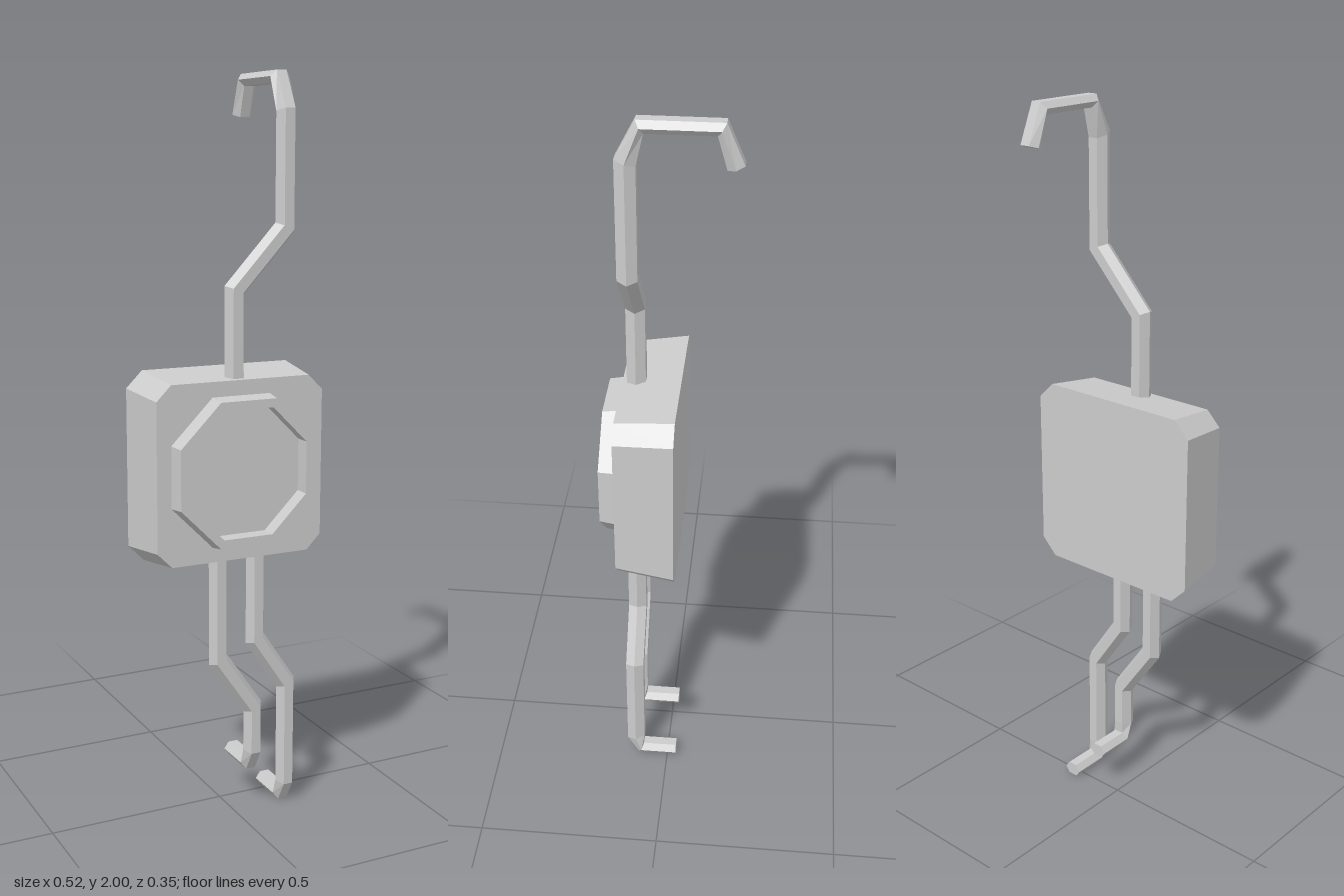
import * as THREE from 'three';

const material = new THREE.MeshStandardMaterial({ color: 0xcccccc, flatShading: true });
const CY = 0.98; // height of the body's centre

// Skin a list of equal-length rings, optionally closing both ends
function loft(name, rings, capped = true) {
  const n = rings[0].length;
  const pos = [];
  const tri = (a, b, c) => pos.push(...a, ...b, ...c);
  for (let i = 0; i < rings.length - 1; i++) {
    for (let k = 0; k < n; k++) {
      const j = (k + 1) % n, lo = rings[i], hi = rings[i + 1];
      tri(lo[k], hi[k], lo[j]);
      tri(hi[k], hi[j], lo[j]);
    }
  }
  if (capped) {
    const first = rings[0], last = rings[rings.length - 1];
    for (let k = 1; k < n - 1; k++) {
      tri(first[0], first[k], first[k + 1]);
      tri(last[0], last[k + 1], last[k]);
    }
  }
  const geo = new THREE.BufferGeometry();
  geo.setAttribute('position', new THREE.Float32BufferAttribute(pos, 3));
  geo.computeVertexNormals();
  const mesh = new THREE.Mesh(geo, material);
  mesh.name = name;
  return mesh;
}

// Square with cut corners, clockwise as seen from the front
function cutSquare(h, cut, z) {
  const s = h - cut;
  return [[s, h], [h, s], [h, -s], [s, -h], [-s, -h], [-h, -s], [-h, s], [-s, h]]
    .map(([x, y]) => [x, CY + y, z]);
}
const octagon = (h, z) => cutSquare(h, h * (2 - Math.SQRT2), z);

// Hexagonal rod section: x centre, sideways tilt, outer (y, z) and inner (y, z) edges
function hexRing(r, [x, tilt, oy, oz, iy, iz]) {
  const cy = (oy + iy) / 2, cz = (oz + iz) / 2;
  const vy = (oy - iy) / 2, vz = (oz - iz) / 2;
  return [[1, 0], [0.5, 1], [-0.5, 1], [-1, 0], [-0.5, -1], [0.5, -1]]
    .map(([u, v]) => [x + u * r, cy + u * tilt + v * vy, cz + v * vz]);
}
const upright = (x, y, tilt = 0) => [x, tilt, y, 0.118, y, 0.068];

// Bent leg with a short foot pointing backward; listed from foot to body
function leg(name, foot, kneeX, footX, ankleY, kneeY) {
  return loft(name, [
    [footX, 0, foot, -0.026, foot + 0.037, -0.026],
    [footX, 0, foot, 0.085, foot + 0.037, 0.07],
    [footX, 0, foot + 0.058, 0.118, foot + 0.07, 0.068],
    upright(footX, ankleY, 0.011),
    upright(kneeX, kneeY, 0.011),
    upright(kneeX, 0.77),
  ].map((p) => hexRing(0.027, p)));
}

export function createModel() {
  const group = new THREE.Group();

  // Tapered body with cut corners
  group.add(loft('body', [cutSquare(0.258, 0.045, -0.026), cutSquare(0.24, 0.041, 0.13)]));

  // Raised octagonal rim around a recessed face
  group.add(loft('rim', [
    octagon(0.2, 0.128), octagon(0.193, 0.175), octagon(0.17, 0.175), octagon(0.17, 0.128),
  ], false));

  // Upper rod ending in a backward hook
  group.add(loft('hookRod', [
    upright(-0.003, 1.19),
    upright(-0.003, 1.448, -0.012),
    upright(0.143, 1.605, -0.012),
    [0.143, 0, 1.905, 0.118, 1.89, 0.068],
    [0.143, 0, 2.0, 0.068, 1.968, 0.05],
    [0.143, 0, 2.0, -0.135, 1.968, -0.115],
    [0.143, 0, 1.9, -0.178, 1.888, -0.138],
  ].map((p) => hexRing(0.028, p))));

  // Two lower legs of different length
  group.add(leg('rightLeg', 0.112, -0.05, 0.055, 0.3, 0.453));
  group.add(leg('leftLeg', 0, 0.061, 0.157, 0.355, 0.498));

  return group;
}
